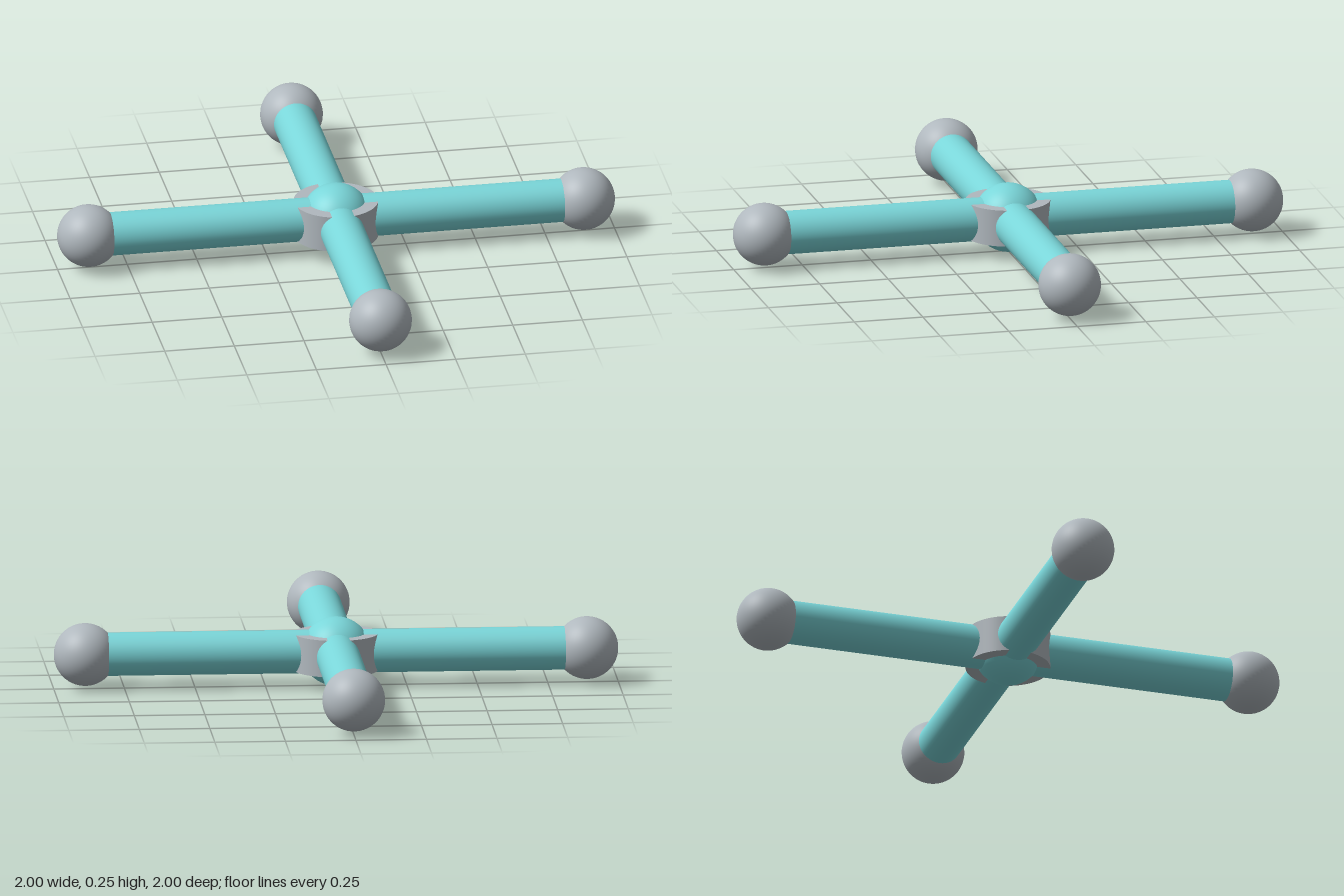
import * as THREE from 'three';

export function createModel() {
  const model = new THREE.Group();
  const teal = new THREE.MeshStandardMaterial({ color: 0x7ad6d9 });
  teal.name = 'teal';
  const grey = new THREE.MeshStandardMaterial({ color: 0xb0b8be });
  grey.name = 'grey';

  const centreY = 0.123;
  const ballRadius = 0.111;
  const ballDistance = 1 - ballRadius;

  function add(parent, name, geometry, material) {
    const mesh = new THREE.Mesh(geometry, material);
    mesh.name = name;
    parent.add(mesh);
    return mesh;
  }

  // Central hub: a ball poking out of a flat collar
  const hub = new THREE.Group();
  hub.name = 'hub';
  hub.position.y = centreY;
  add(hub, 'hubBall', new THREE.SphereGeometry(0.123, 48, 32), teal);
  add(hub, 'hubCollar', new THREE.CylinderGeometry(0.15, 0.15, 0.132, 64), grey);
  model.add(hub);

  // Four arms, each a round rod with an end ball
  const rodGeometry = new THREE.CylinderGeometry(0.077, 0.077, ballDistance, 48);
  rodGeometry.rotateZ(-Math.PI / 2).translate(ballDistance / 2, 0, 0);
  const ballGeometry = new THREE.SphereGeometry(ballRadius, 48, 32);
  ['leftArm', 'backArm', 'rightArm', 'frontArm'].forEach((name, i) => {
    const arm = new THREE.Group();
    arm.name = name;
    arm.position.y = centreY;
    arm.rotation.y = (i * Math.PI) / 2;
    add(arm, 'rod', rodGeometry, teal);
    add(arm, 'endBall', ballGeometry, grey).position.x = ballDistance;
    model.add(arm);
  });

  return model;
}
